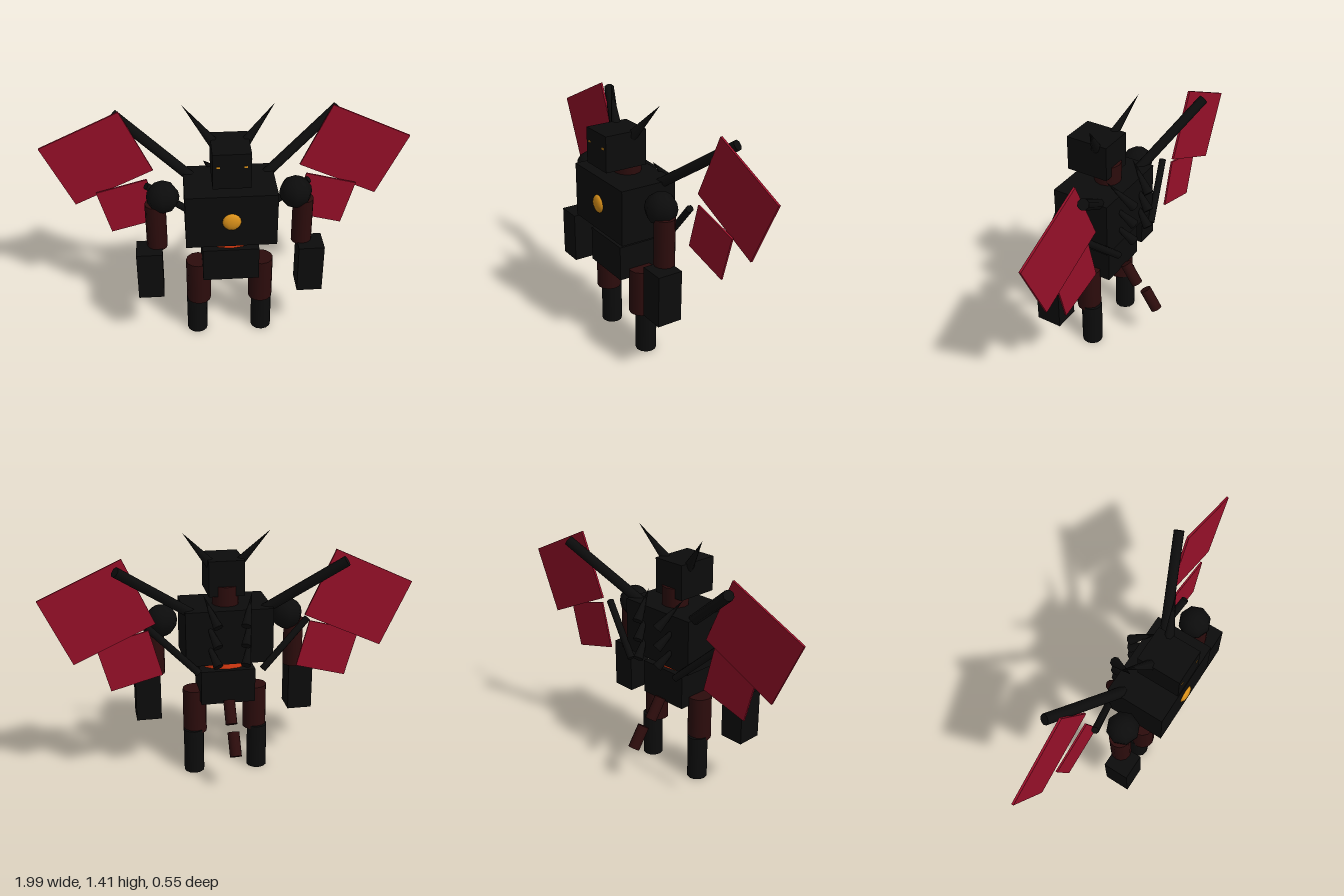
import * as THREE from 'three';

const mat = (name, color) => Object.assign(new THREE.MeshStandardMaterial({ color }), { name });

export function createModel() {
  const armor = mat('black armor', 0x0c0c0c);
  const joint = mat('dark maroon joint', 0x2c0c0c);
  const crimson = mat('crimson panel', 0x960f28);
  const ember = mat('ember orange', 0xe03c12);
  const gold = mat('gold', 0xdc921a);

  const model = new THREE.Group();
  model.name = 'wingedRobot';

  const add = (name, geometry, material, x, y, z) => {
    const mesh = new THREE.Mesh(geometry, material);
    mesh.name = name;
    mesh.position.set(x, y, z);
    model.add(mesh);
    return mesh;
  };
  const box = (name, m, w, h, d, x, y, z) => add(name, new THREE.BoxGeometry(w, h, d), m, x, y, z);
  const tube = (name, m, r, h, x, y, z) => add(name, new THREE.CylinderGeometry(r, r, h, 12), m, x, y, z);

  // Cylinder or cone running between two points
  const rod = (name, m, rTop, rBottom, from, to, sides = 8) => {
    const a = new THREE.Vector3(...from), b = new THREE.Vector3(...to);
    const axis = b.clone().sub(a);
    const geometry = new THREE.CylinderGeometry(rTop, rBottom, axis.length(), sides);
    const mid = a.clone().add(b).multiplyScalar(0.5);
    const mesh = add(name, geometry, m, mid.x, mid.y, mid.z);
    mesh.quaternion.setFromUnitVectors(new THREE.Vector3(0, 1, 0), axis.normalize());
    return mesh;
  };

  // Trunk and head
  box('torso', armor, 0.48, 0.305, 0.325, 0, 0.855, 0.093);
  box('pelvis', armor, 0.304, 0.195, 0.24, 0, 0.548, 0.095);
  box('head', armor, 0.196, 0.195, 0.24, 0, 1.158, 0.14);
  tube('neck', joint, 0.074, 0.16, 0, 1.035, 0.073);
  tube('waist', ember, 0.133, 0.15, 0, 0.675, 0.098).scale.z = 0.75;
  add('chestGem', new THREE.SphereGeometry(0.05, 10, 8), gold, 0, 0.855, 0.255).scale.z = 0.4;

  // Tail segments
  for (const [y, z] of [[0.417, -0.08], [0.284, -0.21]]) {
    tube('tailSegment', joint, 0.033, 0.135, 0, y, z).rotation.x = 0.59;
  }

  // Mirrored parts
  for (const s of [1, -1]) {
    box('eye', gold, 0.018, 0.009, 0.008, s * 0.069, 1.184, 0.258);
    rod('horn', armor, 0, 0.032, [s * 0.06, 1.205, 0.098], [s * 0.235, 1.415, 0.027]);

    // Arm
    add('shoulder', new THREE.SphereGeometry(0.088, 8, 8), armor, s * 0.352, 0.922, 0.093);
    tube('upperArm', joint, 0.056, 0.27, s * 0.394, 0.752, 0.099);
    box('gauntlet', armor, 0.14, 0.285, 0.14, s * 0.438, 0.484, 0.137);

    // Leg
    tube('thigh', joint, 0.068, 0.263, s * 0.174, 0.373, 0.096);
    tube('shin', armor, 0.058, 0.263, s * 0.185, 0.1315, 0.072);

    // Wing struts and panels
    rod('upperStrut', armor, 0.029, 0.029, [s * 0.12, 0.925, 0.035], [s * 0.6, 1.28, -0.175]);
    rod('lowerStrut', armor, 0.02, 0.02, [s * 0.175, 0.675, -0.1], [s * 0.44, 0.925, -0.02]);
    box('upperWingPanel', crimson, 0.476, 0.388, 0.012, s * 0.698, 1.051, -0.103).rotation.z = -s * 0.43;
    box('lowerWingPanel', crimson, 0.288, 0.265, 0.01, s * 0.542, 0.765, -0.079).rotation.z = -s * 0.26;

    // Back spikes, three rows
    for (let i = 0; i < 3; i++) {
      const y = 0.94 - i * 0.111;
      rod('backSpike', armor, 0, 0.028, [s * 0.075, y, -0.138], [s * 0.132, y + 0.14, 0]);
    }
  }
  return model;
}
